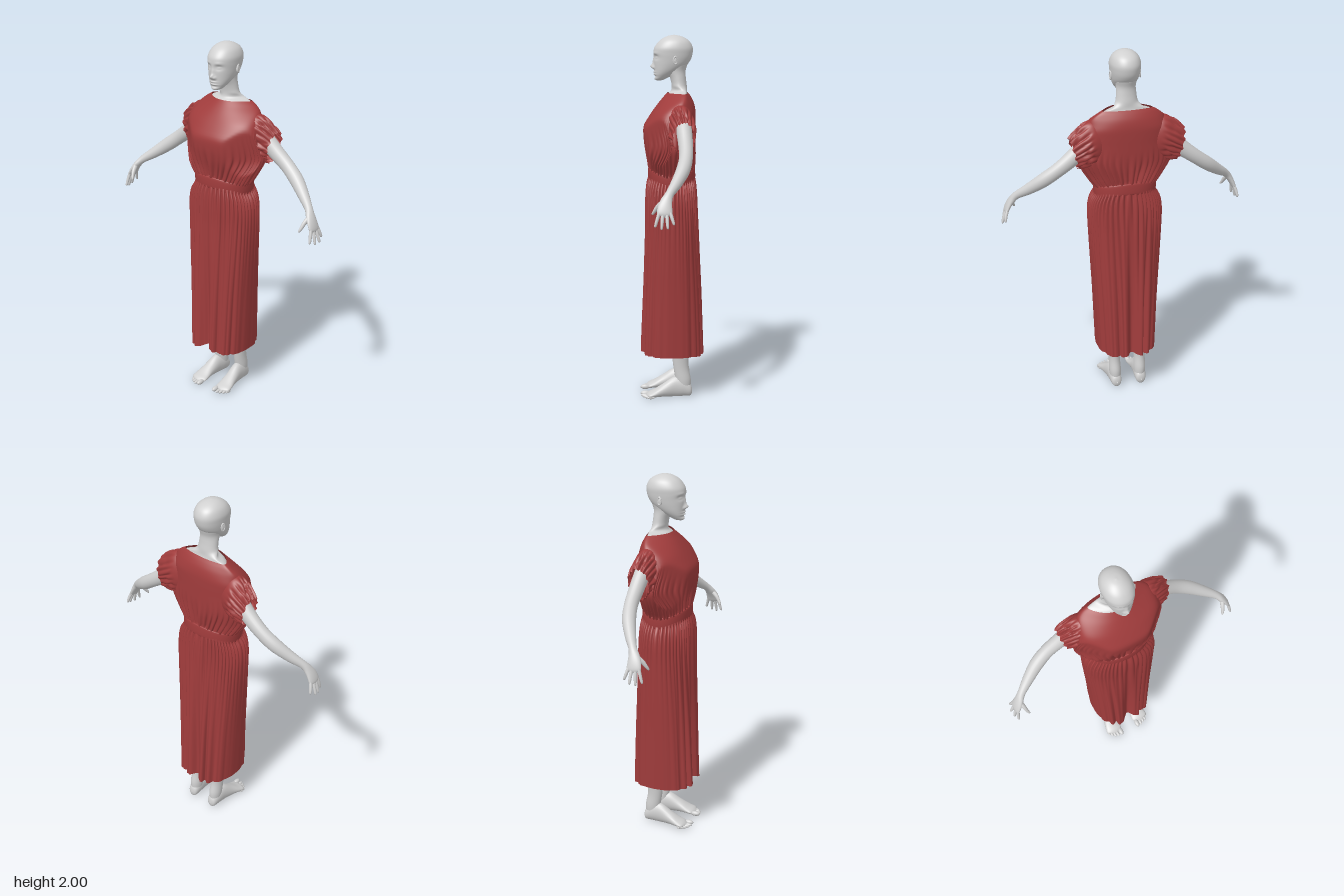
import * as THREE from 'three';

const V = (x, y, z) => new THREE.Vector3(x, y, z);
const X = V(1, 0, 0), Y = V(0, 1, 0), Z = V(0, 0, 1);
const bell = (d, w) => Math.exp(-(d * d) / (w * w));
const ramp = (v, a, b) => THREE.MathUtils.smoothstep(v, a, b);
const groove = (a, n, ph) => Math.pow(0.5 + 0.5 * Math.sin(n * a + 1.7 * Math.sin(3 * a + ph) + ph), 2);
const softMin = (a, b, k) => 0.5 * (a + b - Math.sqrt((a - b) ** 2 + k * k));

// Catmull-Rom interpolation through rows of numbers
function spline(rows, t) {
  const n = rows.length - 1, i = Math.min(n - 1, Math.floor(t * n)), f = t * n - i;
  const at = k => rows[Math.max(0, Math.min(n, k))];
  return rows[0].map((_, c) => {
    const [p, q, r, s] = [at(i - 1)[c], at(i)[c], at(i + 1)[c], at(i + 2)[c]];
    return q + 0.5 * f * (r - p + f * (2 * p - 5 * q + 4 * r - s + f * (3 * (q - r) + s - p)));
  });
}

// Skin over rings [x, y, z, radius along ref, radius across]; axis fixes the ring plane
function loft(rows, { ref = Z, axis = null, segs = 24, sub = 5, power = 1, warp = null } = {}) {
  const steps = (rows.length - 1) * sub, pos = [], idx = [];
  const round = s => Math.sign(s) * Math.pow(Math.abs(s), power);
  for (let j = 0; j <= steps; j++) {
    const t = j / steps, [x, y, z, ru, rv] = spline(rows, t);
    const a0 = spline(rows, Math.max(0, t - 0.01)), a1 = spline(rows, Math.min(1, t + 0.01));
    const T = axis || V(a1[0] - a0[0], a1[1] - a0[1], a1[2] - a0[2]).normalize();
    const u = ref.clone().addScaledVector(T, -ref.dot(T)).normalize();
    const v = T.clone().cross(u), c = V(x, y, z);
    for (let i = 0; i < segs; i++) {
      const a = (i / segs) * Math.PI * 2;
      const p = c.clone().addScaledVector(u, Math.max(0.0005, ru) * round(Math.cos(a)))
        .addScaledVector(v, Math.max(0.0005, rv) * round(Math.sin(a)));
      if (warp) warp(p, a, t, c);
      pos.push(p.x, p.y, p.z);
      if (j < steps) {
        const b = j * segs, i2 = (i + 1) % segs;
        idx.push(b + i, b + i2, b + segs + i2, b + i, b + segs + i2, b + segs + i);
      }
    }
  }
  const g = new THREE.BufferGeometry();
  g.setAttribute('position', new THREE.Float32BufferAttribute(pos, 3));
  g.setIndex(idx);
  g.computeVertexNormals();
  return g;
}

// Level rows: [y, half width, front z, back z]
const levels = rows => rows.map(([y, w, f, b]) => [0, y, (f + b) / 2, (f - b) / 2, w]);

function mirrored(geo) {
  const g = geo.clone().scale(-1, 1, 1), ix = g.index.array;
  for (let i = 0; i < ix.length; i += 3) [ix[i], ix[i + 1]] = [ix[i + 1], ix[i]];
  g.computeVertexNormals();
  return g;
}

function ball(x, y, z, rx, ry, rz) {
  return new THREE.SphereGeometry(1, 16, 12).scale(rx, ry, rz).translate(x, y, z);
}

// Pull cloth inwards, towards the ring centre
function tuck(p, c, d) {
  const dx = p.x - c.x, dz = p.z - c.z, l = Math.hypot(dx, dz) || 1;
  p.x -= dx / l * d;
  p.z -= dz / l * d;
}

// Narrow the shoulder tops and set them back
function shrug(p, a, c) {
  const k = ramp(p.y, 1.58, 1.68) * (1 - ramp(p.y, 1.695, 1.73)), s2 = Math.sin(a) ** 2;
  p.z = c.z + (p.z - c.z) * (1 - 0.4 * k * s2) - 0.03 * k * s2;
}

function sculptFace(p) {
  if (p.z < 0.02) return;
  const x = Math.abs(p.x), y = p.y;
  p.z += 0.007 * bell(x, 0.010) * bell(y - 1.855, 0.022)                  // nose bridge
    + 0.019 * bell(x, 0.011) * bell(y - 1.831, 0.013)                     // nose tip
    + 0.008 * bell(x - 0.014, 0.007) * bell(y - 1.825, 0.008)             // nostrils
    - 0.012 * bell(x - 0.034, 0.018) * bell(y - 1.882, 0.012)             // eye sockets
    + 0.007 * bell(x - 0.034, 0.013) * bell(y - 1.880, 0.007)             // eyes
    + 0.003 * bell(x - 0.035, 0.022) * bell(y - 1.903, 0.008)             // brows
    + 0.007 * bell(x, 0.020) * (bell(y - 1.802, 0.005) + bell(y - 1.790, 0.005)) // lips
    - 0.004 * bell(x, 0.022) * bell(y - 1.796, 0.0025)
    - 0.004 * bell(x, 0.03) * bell(y - 1.778, 0.006)
    + 0.004 * bell(x, 0.02) * bell(y - 1.765, 0.009);                     // chin
}

export function createModel() {
  const model = new THREE.Group();
  model.name = 'dressedFigure';
  const skin = new THREE.MeshStandardMaterial({ color: 0xd0d0d0, side: THREE.DoubleSide });
  skin.name = 'paleGrey';
  const cloth = new THREE.MeshStandardMaterial({ color: 0xa03c3c, side: THREE.DoubleSide });
  cloth.name = 'darkRed';
  const add = (name, geo, mat) => {
    const m = new THREE.Mesh(geo, mat);
    m.name = name;
    model.add(m);
  };
  const pair = (name, geo, mat) => {
    add(name + 'Left', geo, mat);
    add(name + 'Right', mirrored(geo), mat);
  };

  // Head
  add('head', loft(levels([
    [1.756, 0.008, 0.082, 0.06], [1.763, 0.027, 0.092, 0.035], [1.785, 0.046, 0.095, 0],
    [1.81, 0.06, 0.096, -0.04], [1.84, 0.07, 0.098, -0.08], [1.87, 0.076, 0.099, -0.101],
    [1.9, 0.08, 0.101, -0.11], [1.93, 0.081, 0.097, -0.111], [1.96, 0.071, 0.077, -0.098],
    [1.98, 0.054, 0.053, -0.076], [1.994, 0.03, 0.023, -0.044], [2, 0.001, -0.009, -0.011],
  ]), { axis: Y, segs: 120, sub: 8, power: 0.93, warp: sculptFace }), skin);
  const ear = new THREE.TorusGeometry(0.013, 0.004, 8, 20).scale(0.8, 1.5, 1)
    .rotateY(Math.PI / 2 + 0.25).translate(0.08, 1.866, -0.015);
  pair('ear', ear, skin);
  pair('earInner', ball(0.077, 1.864, -0.012, 0.006, 0.02, 0.012), skin);

  // Neck, shoulders and body under the dress
  add('neckAndBody', loft(levels([
    [0.82, 0.02, 0.02, -0.02], [0.88, 0.14, 0.08, -0.08], [1, 0.155, 0.09, -0.1],
    [1.2, 0.125, 0.08, -0.08], [1.4, 0.14, 0.09, -0.09], [1.58, 0.165, 0.05, -0.105],
    [1.64, 0.158, 0.04, -0.1], [1.67, 0.145, 0.032, -0.09], [1.687, 0.122, 0.022, -0.083],
    [1.703, 0.08, 0.006, -0.08], [1.73, 0.06, 0.003, -0.079], [1.77, 0.054, 0.012, -0.074],
    [1.81, 0.053, 0.03, -0.073], [1.85, 0.06, 0.03, -0.085], [1.88, 0.05, 0.02, -0.085],
  ]), { axis: Y, segs: 40, warp: (p, a, t, c) => shrug(p, a, c) }), skin);

  // Arms with palms
  pair('arm', loft([
    [0.15, 1.57, -0.05, 0.045, 0.05], [0.23, 1.505, -0.056, 0.042, 0.048],
    [0.3, 1.443, -0.061, 0.039, 0.044], [0.38, 1.382, -0.06, 0.036, 0.039],
    [0.455, 1.325, -0.042, 0.036, 0.038], [0.53, 1.267, -0.005, 0.029, 0.03],
    [0.588, 1.224, 0.03, 0.022, 0.021], [0.614, 1.192, 0.047, 0.03, 0.018],
    [0.633, 1.16, 0.055, 0.037, 0.015], [0.646, 1.13, 0.056, 0.036, 0.011],
    [0.65, 1.117, 0.056, 0.004, 0.003],
  ]), skin);
  for (let i = 0; i < 4; i++) {
    const z = 0.028 + i * 0.0185, tip = 0.009 + i * 0.032, len = [0.06, 0.078, 0.083, 0.072][i];
    const at = (f, r) => [0.643 + (0.036 - 0.003 * i * (i - 1)) * f - 0.008 * f * f - (i ? 0 : 0.012 * f),
      1.138 - len * f, z + (tip - z) * f, r, r];
    pair('finger' + (i + 1), loft([at(0, 0.009), at(0.35, 0.0088), at(0.7, 0.0078),
      at(0.93, 0.006), at(1, 0.001)], { segs: 12, sub: 3 }), skin);
  }
  pair('thumb', loft([[0.614, 1.19, 0.062, 0.014, 0.013], [0.606, 1.166, 0.088, 0.012, 0.011],
    [0.6, 1.143, 0.104, 0.0095, 0.009], [0.593, 1.125, 0.115, 0.006, 0.006],
    [0.591, 1.119, 0.118, 0.001, 0.001]], { segs: 12, sub: 4 }), skin);

  // Legs, feet and toes
  pair('leg', loft([
    [0.072, 0.05, -0.062, 0.038, 0.03], [0.073, 0.1, -0.059, 0.043, 0.034],
    [0.074, 0.17, -0.047, 0.042, 0.032], [0.075, 0.25, -0.044, 0.048, 0.037],
    [0.08, 0.4, -0.045, 0.058, 0.05], [0.08, 0.55, -0.02, 0.055, 0.05],
    [0.085, 0.75, 0, 0.07, 0.065], [0.082, 1, 0, 0.085, 0.07],
  ], { axis: Y }), skin);
  pair('foot', loft([
    [0.072, 0.033, -0.11, 0.003, 0.004], [0.072, 0.037, -0.1, 0.026, 0.033],
    [0.074, 0.055, -0.06, 0.034, 0.053], [0.078, 0.058, -0.01, 0.034, 0.057],
    [0.084, 0.04, 0.05, 0.038, 0.038], [0.088, 0.024, 0.1, 0.046, 0.022],
    [0.089, 0.016, 0.132, 0.044, 0.014], [0.088, 0.014, 0.148, 0.004, 0.003],
  ], { ref: X, axis: Z }), skin);
  for (let i = 0; i < 5; i++) {
    const r = i ? 0.0095 - i * 0.0004 : 0.014;
    pair('toe' + (i + 1), ball([0.057, 0.08, 0.098, 0.114, 0.127][i], r,
      [0.152, 0.152, 0.146, 0.136, 0.122][i], r, r, 0.027 - i * 0.0015), skin);
  }

  // Skirt: fine gathers at the waist opening into broad folds at the hem
  add('skirt', loft(levels([
    [0.245, 0.167, 0.188, -0.184], [0.4, 0.174, 0.181, -0.177], [0.6, 0.183, 0.172, -0.167],
    [0.8, 0.194, 0.162, -0.155], [1, 0.204, 0.152, -0.145], [1.1, 0.206, 0.149, -0.139],
    [1.16, 0.195, 0.143, -0.133], [1.2, 0.172, 0.132, -0.125], [1.23, 0.163, 0.122, -0.118],
  ]), {
    axis: Y, segs: 360, sub: 5, power: 0.82, warp: (p, a, t, c) => {
      const y = p.y, c2 = Math.cos(a) ** 2, low = 1 - ramp(y, 0.25, 1.15);
      const front = Math.cos(a) > 0 ? 1 : 0.6;
      tuck(p, c, 0.015 * groove(a, 46, 1) * Math.exp(-Math.abs(y - 1.17) / 0.16) * (1 - ramp(y, 1.18, 1.23))
        + (0.05 + 0.95 * c2) * (0.024 * low * groove(a, 14, 2) + 0.008 * groove(a, 29, 4) * (1 - ramp(y, 1, 1.2)))
        + 0.045 * front * low * bell(p.x, 0.03) * c2);
      p.y += 0.03 * c2 * ramp(y, 1, 1.2)
        + (1 - ramp(y, 0.245, 0.6)) * (0.01 * Math.cos(a) * c2 + 0.02 * front * bell(p.x, 0.04) * c2);
    },
  }), cloth);

  // Waistband, rising at the middle
  add('waistband', loft(levels([
    [1.193, 0.162, 0.12, -0.117], [1.197, 0.17, 0.131, -0.126],
    [1.25, 0.172, 0.131, -0.124], [1.254, 0.164, 0.12, -0.115],
  ]), { axis: Y, segs: 80, power: 0.9, warp: (p, a) => { p.y += 0.03 * Math.cos(a) ** 2; } }), cloth);

  // Bodice: gathers fade towards the neckline, the bust tapers to the sides, the back is broad
  add('bodice', loft(levels([
    [1.23, 0.164, 0.122, -0.116], [1.26, 0.186, 0.134, -0.125], [1.3, 0.213, 0.139, -0.128],
    [1.35, 0.243, 0.146, -0.129], [1.4, 0.262, 0.154, -0.128], [1.45, 0.256, 0.162, -0.127],
    [1.5, 0.242, 0.163, -0.127], [1.55, 0.232, 0.134, -0.127], [1.6, 0.218, 0.1, -0.125],
    [1.64, 0.2, 0.07, -0.116], [1.67, 0.167, 0.045, -0.101], [1.69, 0.135, 0.028, -0.086],
  ]), {
    axis: Y, segs: 320, sub: 4, power: 0.93, warp: (p, a, t, c) => {
      const y = p.y, cos = Math.cos(a), c2 = cos * cos, d = Math.abs(p.x) - 0.1;
      if (cos > 0) p.z = softMin(p.z, 0.165 - 0.475 * (d + Math.hypot(d, 0.03)), 0.012 * c2);
      else p.z = c.z + (p.z - c.z) * Math.pow(0.001 - cos, -0.3 * ramp(y, 1.3, 1.45) * (1 - ramp(y, 1.58, 1.66)));
      const fade = ramp(y, 1.23, 1.27) * (1 - ramp(y, 1.3, 1.47 + 0.12 * (1 - c2)));
      tuck(p, c, fade * (0.014 * groove(a, 42, 3) + 0.009 * groove(a, 23, 5)));
      shrug(p, a, c);
      p.y += 0.03 * c2 * (1 - ramp(y, 1.23, 1.4));
    },
  }), cloth);

  // Short crumpled sleeves, hanging below the arm
  pair('sleeve', loft([
    [0.11, 1.53, -0.035, 0.06, 0.105], [0.165, 1.517, -0.038, 0.074, 0.124],
    [0.21, 1.502, -0.042, 0.079, 0.125], [0.253, 1.485, -0.048, 0.072, 0.113],
    [0.293, 1.467, -0.053, 0.06, 0.094],
  ], {
    axis: V(0.97, -0.24, 0).normalize(), segs: 160, sub: 10, warp: (p, a, t, c) => {
      const d = ramp(t, 0.25, 0.65) * (0.11 * groove(a, 19, 2 + 2 * t) + 0.08 * groove(a, 9, 7 * t)) * (1 - 0.4 * ramp(t, 0.85, 1));
      p.lerp(c, d);
      p.x += 0.005 * ramp(t, 0.3, 1) * Math.sin(11 * a);
    },
  }), cloth);

  return model;
}
